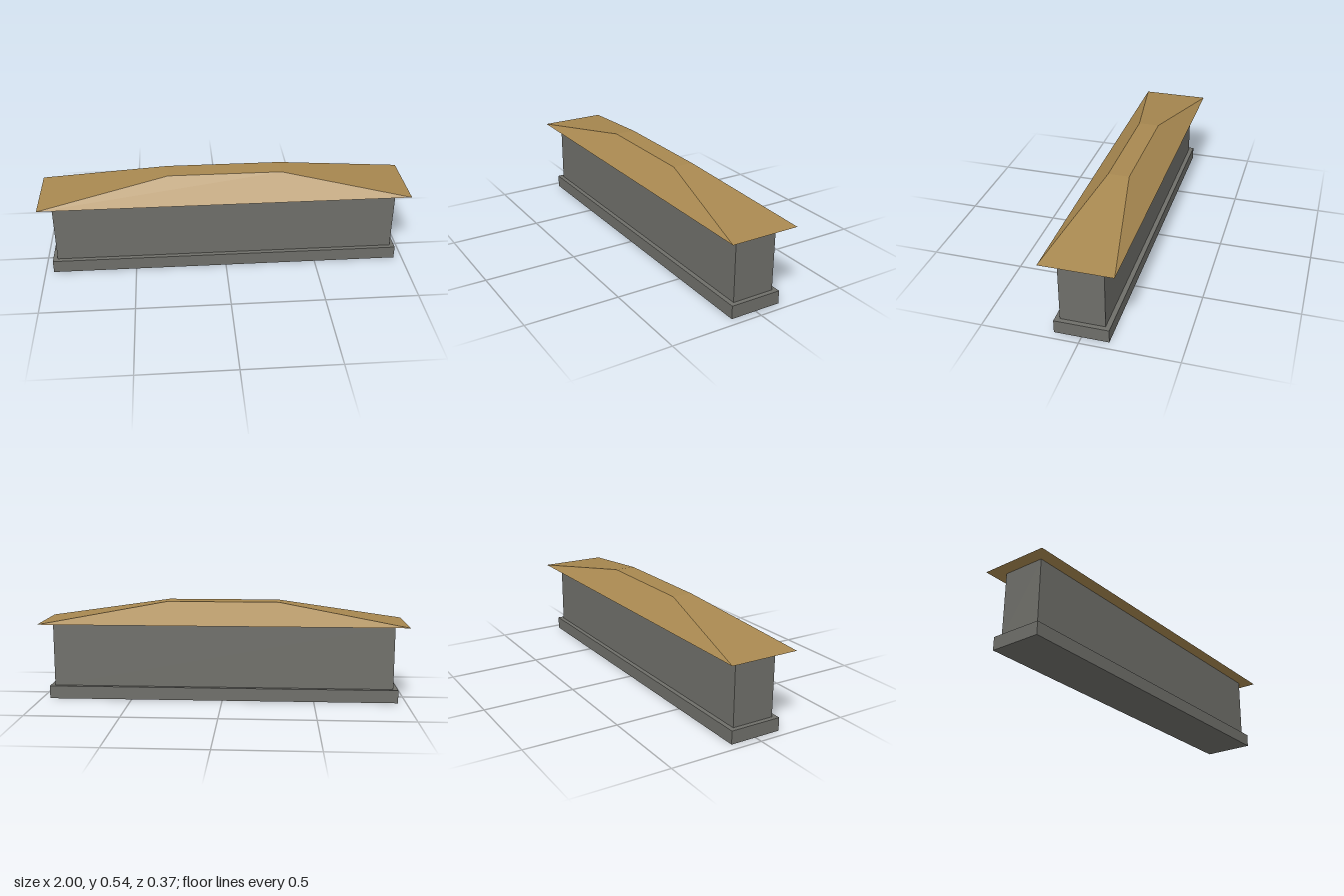
import * as THREE from 'three';

export function createModel() {
  const group = new THREE.Group();
  const stone = new THREE.MeshStandardMaterial({ color: 0x6e6e69 });
  stone.name = 'grey stone';
  const roofing = new THREE.MeshStandardMaterial({ color: 0xa88850 });
  roofing.name = 'ochre roofing';

  // Box standing on y0, with its top face optionally narrowed
  function block(name, material, width, depth, y0, y1, topWidth = width, topDepth = depth) {
    const geometry = new THREE.BoxGeometry(width, y1 - y0, depth);
    const p = geometry.attributes.position;
    for (let i = 0; i < p.count; i++) {
      if (p.getY(i) > 0) {
        p.setX(i, Math.sign(p.getX(i)) * topWidth / 2);
        p.setZ(i, Math.sign(p.getZ(i)) * topDepth / 2);
      }
    }
    geometry.computeVertexNormals();
    const mesh = new THREE.Mesh(geometry, material);
    mesh.name = name;
    mesh.position.y = (y0 + y1) / 2;
    group.add(mesh);
  }

  block('plinth', stone, 1.91, 0.28, 0, 0.07);
  block('wall', stone, 1.86, 0.23, 0.07, 0.42);
  // Hipped roof with a flat ridge and overhanging eaves
  block('roof', roofing, 2, 0.37, 0.42, 0.535, 0.61, 0.112);

  return group;
}
